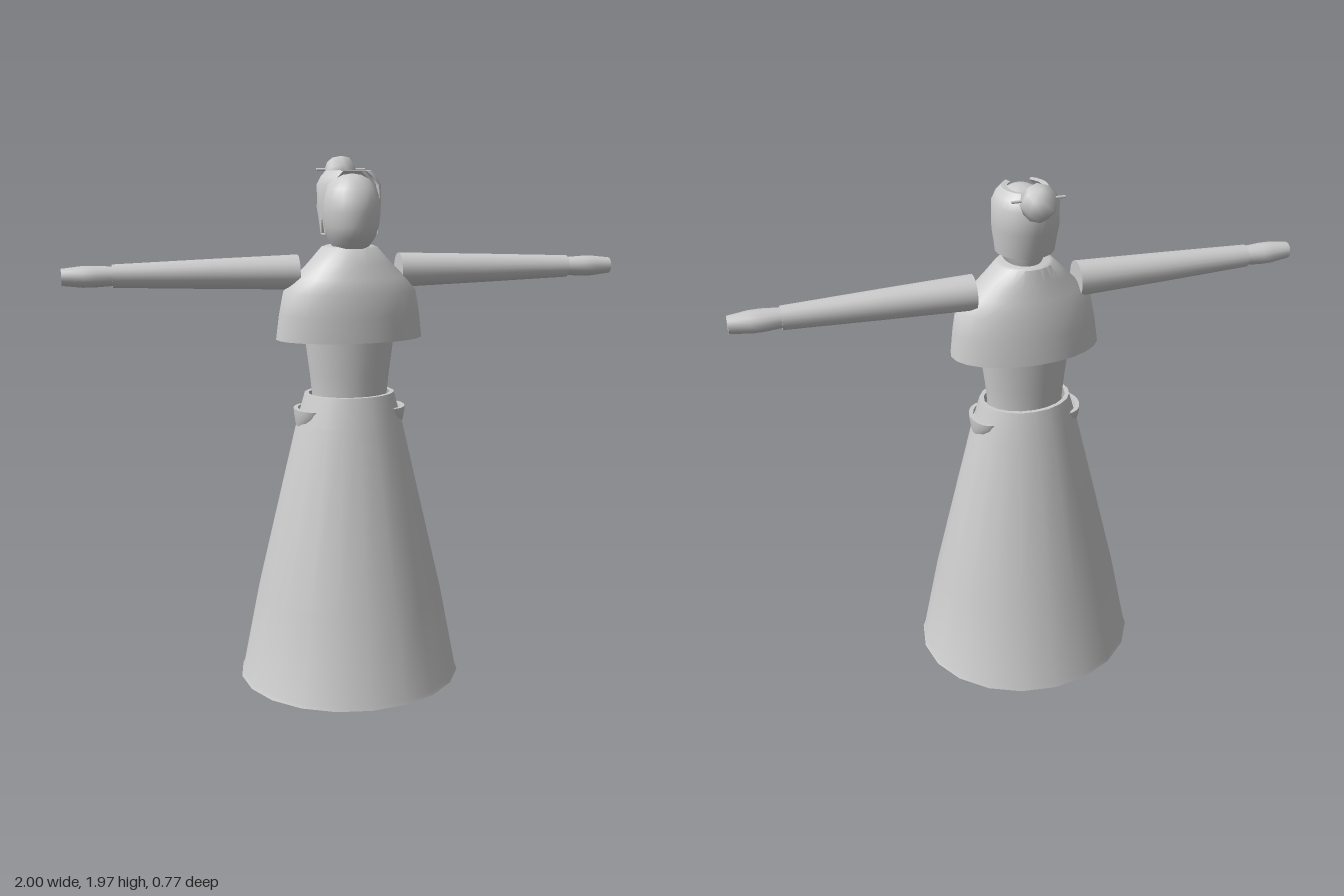
import * as THREE from 'three';
import { toCreasedNormals } from 'three/addons/utils/BufferGeometryUtils.js';

// Skin elliptical rings [y, rx, rz, zCentre, frontGap]; a gap leaves the front open.
function loft(rings, segs = 24, open = false) {
  const pos = [], index = [];
  const n = open ? segs + 1 : segs;
  for (const [y, rx, rz, cz = 0, gap = 0] of rings) {
    for (let j = 0; j < n; j++) {
      const a = gap + (j / segs) * (2 * Math.PI - 2 * gap);
      pos.push(Math.sin(a) * rx, y, cz + Math.cos(a) * rz);
    }
  }
  for (let i = 0; i < rings.length - 1; i++) {
    for (let j = 0; j < segs; j++) {
      const k = (j + 1) % n;
      const a = i * n + j, b = i * n + k, c = a + n, d = b + n;
      index.push(a, b, d, a, d, c);
    }
  }
  const geo = new THREE.BufferGeometry();
  geo.setAttribute('position', new THREE.Float32BufferAttribute(pos, 3));
  geo.setIndex(index);
  return toCreasedNormals(geo, 0.7);
}

export function createModel() {
  const group = new THREE.Group();
  const grey = new THREE.MeshStandardMaterial({ color: 0xcccccc, side: THREE.DoubleSide });
  grey.name = 'plain grey';

  const add = (name, geo, x = 0, y = 0, z = 0) => {
    const mesh = new THREE.Mesh(geo, grey);
    mesh.name = name;
    mesh.position.set(x, y, z);
    group.add(mesh);
    return mesh;
  };

  // Hollow skirt with a thin hem and open waist
  add('skirt', loft([
    [1.11, 0.15, 0.117], [0.38, 0.33, 0.298], [0.06, 0.392, 0.365],
    [0.045, 0.4, 0.372], [0.045, 0.417, 0.385], [0.06, 0.41, 0.38],
    [0.38, 0.347, 0.313], [1.02, 0.197, 0.158], [1.13, 0.166, 0.13], [1.13, 0.15, 0.115],
  ], 20));

  // Waist and body
  add('torso', loft([
    [1.0, 0.135, 0.102], [1.12, 0.138, 0.105], [1.2, 0.146, 0.107],
    [1.33, 0.163, 0.115], [1.45, 0.17, 0.115], [1.56, 0.12, 0.09],
  ]));

  // Hollow shoulder cape
  add('cape', loft([
    [1.64, 0.07, 0.07], [1.55, 0.18, 0.118, 0.01], [1.5, 0.225, 0.13, 0.008],
    [1.33, 0.25, 0.138], [1.33, 0.268, 0.155], [1.42, 0.257, 0.15, 0.004],
    [1.5, 0.242, 0.144, 0.008], [1.55, 0.2, 0.131, 0.008], [1.6, 0.15, 0.113, 0.004],
    [1.655, 0.1, 0.093], [1.66, 0.085, 0.085], [1.655, 0, 0],
  ]));

  // Neck, face and skull
  add('neck', loft([[1.6, 0.062, 0.07], [1.7, 0.058, 0.065, 0.01]]));
  add('head', loft([
    [1.652, 0, 0, 0.02], [1.654, 0.062, 0.082, 0.018], [1.69, 0.084, 0.104, 0.03],
    [1.73, 0.096, 0.112, 0.035], [1.78, 0.101, 0.112, 0.036], [1.82, 0.099, 0.108, 0.037],
    [1.86, 0.087, 0.085, 0.038], [1.89, 0.062, 0.058, 0.042], [1.905, 0.032, 0.03, 0.045],
    [1.91, 0, 0, 0.045],
  ]));

  // Hair wraps the back of the head and is open on top
  add('hair', loft([
    [1.7, 0.088, 0.09, 0, 1.5], [1.7, 0.102, 0.104, 0, 1.5],
    [1.79, 0.113, 0.118, -0.008, 1.2], [1.87, 0.113, 0.122, -0.01, 0.95],
    [1.9, 0.098, 0.108, -0.008, 0.75], [1.92, 0.077, 0.087, -0.005, 0.6],
    [1.918, 0.058, 0.066, -0.005, 0.6], [1.87, 0.096, 0.105, -0.01, 0.95],
    [1.79, 0.1, 0.104, -0.008, 1.2], [1.7, 0.088, 0.09, 0, 1.5],
  ], 20, true));

  // Bun with a pin through it
  add('bun', new THREE.SphereGeometry(0.063, 8, 4), 0, 1.908, -0.145).rotation.x = -0.5;
  add('hairPin', new THREE.CylinderGeometry(0.005, 0.005, 0.18, 8), 0, 1.92, -0.145)
    .rotation.z = Math.PI / 2;

  for (const [side, s] of [['left', 1], ['right', -1]]) {
    // Tapered sleeve and mitten hand, lofted upright and turned outwards
    const sleeve = add(side + 'Sleeve', loft([
      [0.185, 0, 0], [0.185, 0.062, 0.063], [0.5, 0.052, 0.053],
      [0.83, 0.04, 0.041], [0.83, 0, 0],
    ], 20), 0, 1.568, -0.012);
    const hand = add(side + 'Hand', loft([
      [0.8, 0.033, 0.035], [0.84, 0.034, 0.037], [0.89, 0.037, 0.045],
      [0.93, 0.037, 0.043], [1.0, 0.029, 0.03], [1.0, 0, 0],
    ], 16), 0, 1.568, -0.01);
    sleeve.rotation.z = hand.rotation.z = -s * Math.PI / 2;

    // Round-bottomed hip pocket
    add(side + 'Pocket', loft([
      [-0.09, 0, 0], [-0.078, 0.055, 0.044], [-0.05, 0.061, 0.074], [-0.02, 0.065, 0.087],
      [0, 0.066, 0.09], [0, 0.05, 0.075], [-0.012, 0.048, 0.072], [-0.012, 0, 0],
    ], 20), s * 0.14, 1.076, 0);

    // Leg and blunt-toed shoe
    add(side + 'Leg', loft([[0.04, 0.04, 0.04, -0.03], [1.0, 0.055, 0.06]], 16), s * 0.11);
    add(side + 'Shoe', loft([
      [-0.085, 0, 0], [-0.085, 0.048, 0.048], [0, 0.055, 0.055], [0.1, 0.053, 0.053],
      [0.19, 0.045, 0.045], [0.21, 0.03, 0.03], [0.21, 0, 0],
    ], 16), s * 0.11, 0.055, 0).rotation.x = Math.PI / 2;
  }
  return group;
}
